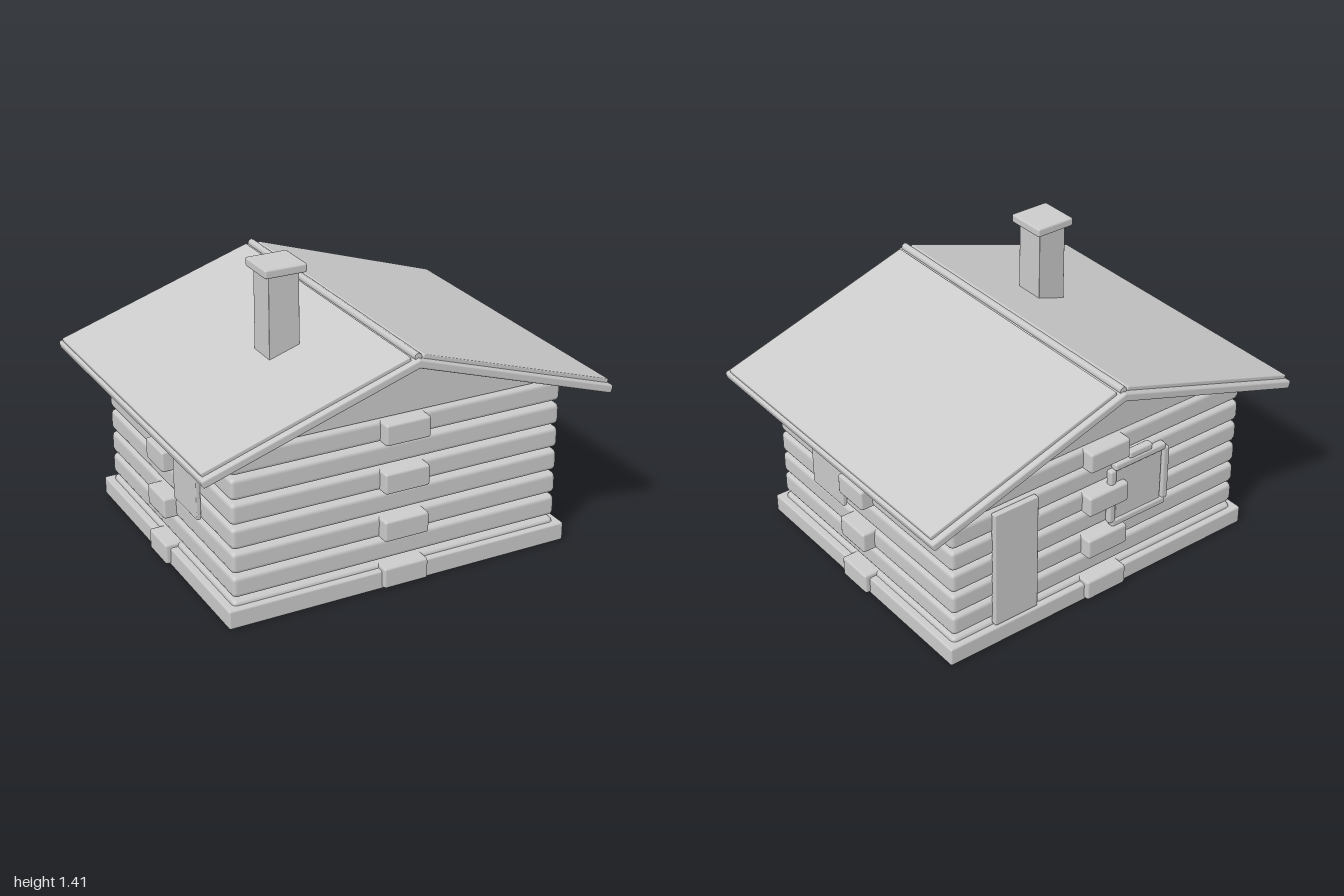
import * as THREE from 'three';
import { RoundedBoxGeometry } from 'three/addons/geometries/RoundedBoxGeometry.js';

const grey = new THREE.MeshStandardMaterial({ color: 0xcccccc });

// Softly bevelled block, placed by its centre
function block(parent, name, size, pos, bevel = 0.01) {
  const mesh = new THREE.Mesh(new RoundedBoxGeometry(...size, 1, bevel), grey);
  mesh.name = name;
  mesh.position.set(...pos);
  parent.add(mesh);
  return mesh;
}

function buildWalls() {
  const walls = new THREE.Group();
  walls.name = 'walls';
  block(walls, 'floorSlab', [1.69, 0.09, 1.42], [0, 0.045, 0], 0.01);
  // Seven log courses; every other one has cross beams with protruding ends
  for (let i = 0; i < 7; i++) {
    const y = 0.06 + i * 0.115;
    block(walls, 'logCourse', [1.62, 0.102, 1.36], [0, y, 0], 0.022);
    if (i % 2 === 0) {
      block(walls, 'crossBeamX', [1.74, 0.1, 0.185], [0, y, 0], 0.012);
      block(walls, 'crossBeamZ', [0.22, 0.1, 1.47], [0, y, 0], 0.012);
    }
  }
  return walls;
}

function buildRoof() {
  const roof = new THREE.Group();
  roof.name = 'roof';
  const slope = Math.atan(0.325);

  // Gable prism filling the space under the roof
  const tri = new THREE.Shape([
    new THREE.Vector2(-0.83, 0.805), new THREE.Vector2(0.83, 0.805), new THREE.Vector2(0, 1.08),
  ]);
  const gable = new THREE.Mesh(new THREE.ExtrudeGeometry(tri, { depth: 1.32, bevelEnabled: false }), grey);
  gable.name = 'gable';
  gable.position.z = -0.66;
  roof.add(gable);

  // Each side: a wide lower deck and a slightly smaller thin covering
  for (const side of [1, -1]) {
    const pitch = new THREE.Group();
    pitch.name = side > 0 ? 'leftRoofSide' : 'rightRoofSide';
    pitch.position.y = 1.07;
    pitch.rotation.z = -side * slope;
    block(pitch, 'roofDeck', [1.06, 0.04, 1.63], [side * 0.508, 0.02, 0], 0.01);
    block(pitch, 'roofCover', [1.006, 0.022, 1.575], [side * 0.518, 0.047, 0], 0.005);
    roof.add(pitch);
  }

  // Ridge pole
  const ridge = new THREE.Mesh(new THREE.CylinderGeometry(0.018, 0.018, 1.59, 8), grey);
  ridge.name = 'ridgePole';
  ridge.rotation.x = Math.PI / 2;
  ridge.position.y = 1.117;
  roof.add(ridge);
  return roof;
}

function buildChimney() {
  const chimney = new THREE.Group();
  chimney.name = 'chimney';
  block(chimney, 'chimneyStack', [0.146, 0.45, 0.148], [-0.357, 1.155, 0.201], 0.003);
  block(chimney, 'chimneyCap', [0.2, 0.042, 0.2], [-0.357, 1.39, 0.201], 0.01);
  return chimney;
}

// Back window: pane, posts, lintel, sill and a small top piece
function buildBackWindow() {
  const win = new THREE.Group();
  win.name = 'backWindow';
  win.position.set(-0.195, 0, -0.69);
  block(win, 'windowPane', [0.26, 0.29, 0.025], [0, 0.505, 0], 0.004);
  for (const s of [-1, 1]) block(win, 'windowPost', [0.035, 0.28, 0.035], [s * 0.153, 0.5, -0.004], 0.01);
  block(win, 'windowLintel', [0.29, 0.035, 0.04], [0, 0.652, -0.004], 0.01);
  block(win, 'windowSill', [0.31, 0.035, 0.04], [0, 0.355, -0.004], 0.01);
  block(win, 'windowTopPiece', [0.13, 0.035, 0.04], [0, 0.685, -0.004], 0.01);
  return win;
}

export function createModel() {
  const cabin = new THREE.Group();
  cabin.name = 'logCabin';
  cabin.add(buildWalls(), buildRoof(), buildChimney(), buildBackWindow());
  block(cabin, 'door', [0.23, 0.59, 0.03], [0.485, 0.39, -0.688], 0.005);
  for (const s of [-1, 1]) {
    block(cabin, s > 0 ? 'leftWindow' : 'rightWindow', [0.022, 0.295, 0.247], [s * 0.82, 0.505, 0.243], 0.005);
  }
  return cabin;
}
